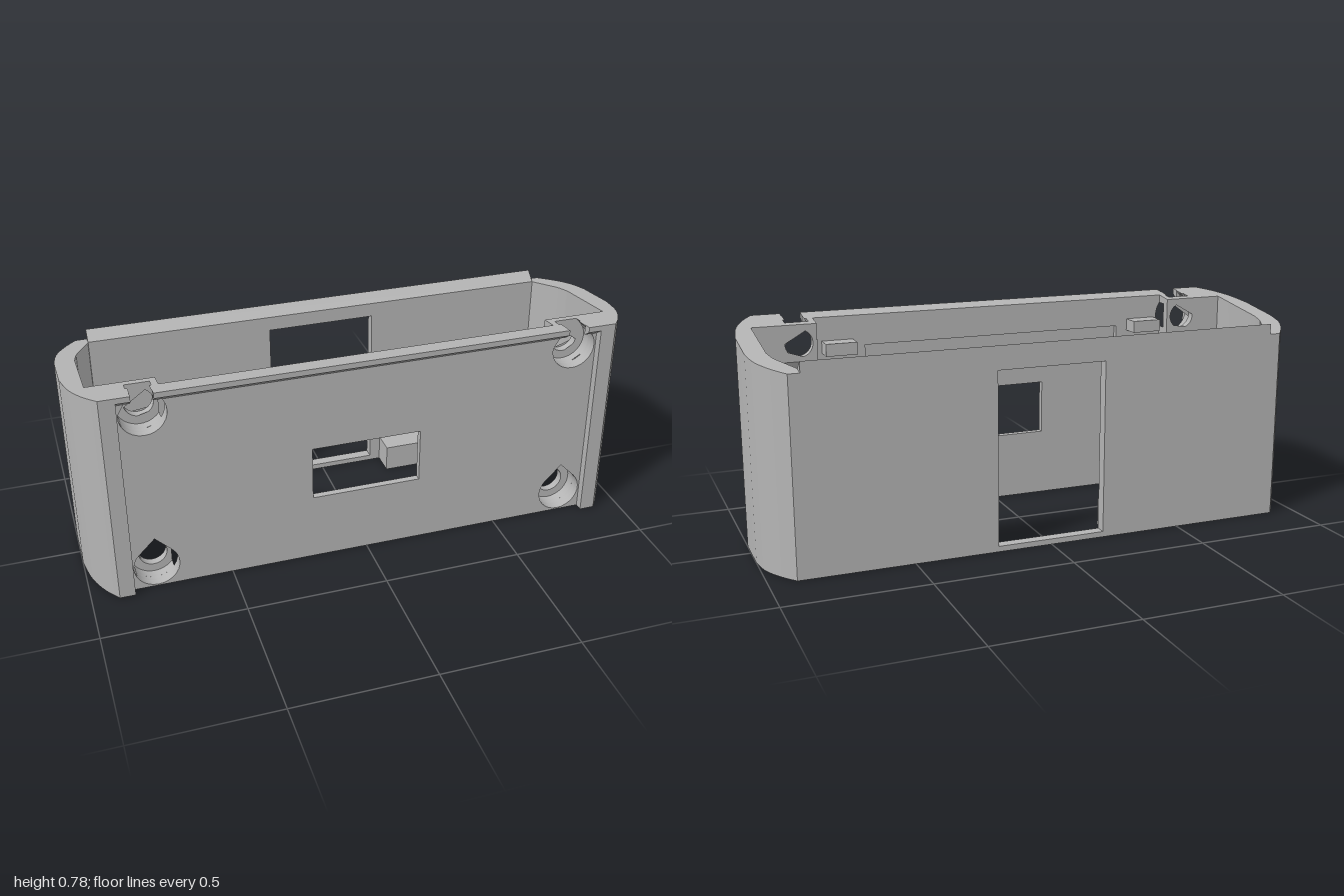
import * as THREE from 'three';
import { toCreasedNormals } from 'three/addons/utils/BufferGeometryUtils.js';

const TOP = 1; // marker height, moved onto the sloping rim afterwards
const rimY = (z) => 0.7345 + 0.137 * z;

export function createModel() {
  const model = new THREE.Group();
  model.name = 'enclosure';
  const grey = new THREE.MeshStandardMaterial({ color: 0xb4b4b4 });
  grey.name = 'greyPlastic';

  const add = (name, geo) => {
    const mesh = new THREE.Mesh(toCreasedNormals(geo, 0.5), grey);
    mesh.name = name;
    model.add(mesh);
  };
  const shapeOf = (pts, s = 1) => new THREE.Shape(pts.map(([x, y]) => new THREE.Vector2(x * s, y)));
  const rect = (x0, y0, x1, y1) => [[x0, y0], [x1, y0], [x1, y1], [x0, y1]];

  // move marked vertices by a rule y = f(y, z)
  const reshape = (geo, rule) => {
    const p = geo.attributes.position;
    for (let i = 0; i < p.count; i++) p.setY(i, rule(p.getY(i), p.getZ(i)));
    geo.computeVertexNormals();
    return geo;
  };
  const toRim = (y, z) => (y > 0.9 ? rimY(z) : y);

  // upright plate between two depths, drawn in x and y
  const plate = (name, shape, z0, z1, rule = toRim) => {
    const g = new THREE.ExtrudeGeometry(shape, { depth: z1 - z0, bevelEnabled: false });
    add(name, reshape(g.translate(0, 0, z0), rule));
  };
  // vertical prism drawn in x and -z
  const prism = (name, shape, y0, y1, rule = toRim) => {
    const g = new THREE.ExtrudeGeometry(shape, { depth: y1 - y0, bevelEnabled: false, curveSegments: 5 });
    add(name, reshape(g.rotateX(-Math.PI / 2).translate(0, y0, 0), rule));
  };
  // bar along x with a profile drawn in z and y
  const bar = (name, zy, x0, x1) => {
    const g = new THREE.ExtrudeGeometry(shapeOf(zy.map(([z, y]) => [-z, y])), { depth: x1 - x0, bevelEnabled: false });
    add(name, g.rotateY(Math.PI / 2).translate(x0, 0, 0));
  };

  // points on a circle, angles in degrees
  const arc = (cx, cy, r, a0, a1, n = 20) => Array.from({ length: n + 1 }, (_, i) => {
    const a = THREE.MathUtils.degToRad(a0 + (a1 - a0) * i / n);
    return [cx + r * Math.cos(a), cy + r * Math.sin(a)];
  });
  // teardrop with its tip up
  const tear = (cx, cy, r, tip = 1.414) => [...arc(cx, cy, r, 45, -225), [cx, cy + r * tip]];

  const HX = 0.765, LOW = 0.085, HIGH = 0.69, R = 0.08;

  // curved sides with front pillars
  for (const s of [-1, 1]) {
    const v = (x, z) => new THREE.Vector2(s * x, -z);
    const side = new THREE.Shape();
    const line = (x, z) => side.lineTo(s * x, -z);
    side.moveTo(s * 0.85, -0.31);
    line(0.905, 0.31);
    side.splineThru([v(0.948, 0.25), v(0.982, 0.17), v(1, 0.07)]);
    line(1, -0.1);
    side.splineThru([v(0.985, -0.18), v(0.95, -0.25), v(0.905, -0.31)]);
    line(0.865, -0.31);
    line(0.865, -0.265);
    side.splineThru([v(0.892, -0.21), v(0.918, -0.155), v(0.93, -0.1)]);
    line(0.93, 0.235);
    line(0.85, 0.235);
    prism(s > 0 ? 'leftSide' : 'rightSide', side, 0, TOP);
  }

  // back wall with a tall window and a wedge-shaped lip
  const back = shapeOf(rect(-0.865, 0, 0.865, TOP));
  back.holes.push(shapeOf(rect(-0.2, 0.02, 0.2, 0.645)));
  plate('backWall', back, -0.31, -0.27, (y, z) => (y > 0.9 ? (z < -0.29 ? 0.73 : 0.6975) : y));

  // front panel, notched at the top by the upper screw recesses
  const frontShape = (recessed) => {
    const notch = (cx) => [
      [cx - 0.035, TOP], ...arc(cx, HIGH, R, -225, 45), [cx + 0.035, TOP],
    ];
    const bottom = recessed
      ? [[-0.85, 0], [-0.51, 0], [-0.51, 0.655], [0.51, 0.655], [0.51, 0], [0.85, 0]]
      : [[-0.85, 0], [0.85, 0]];
    const shape = shapeOf([
      ...bottom, [0.85, TOP], ...notch(HX).reverse(), ...notch(-HX).reverse(), [-0.85, TOP],
    ]);
    for (const s of [-1, 1]) shape.holes.push(shapeOf(tear(HX, LOW, R), s));
    if (!recessed) shape.holes.push(shapeOf(rect(-0.2, 0.25, 0.195, 0.45)));
    return shape;
  };
  plate('frontPanel', frontShape(false), 0.255, 0.28);
  plate('frontPanelInnerFrame', frontShape(true), 0.235, 0.255);

  // overhanging lip along the top of the front panel
  const lip = [[0.28, 0.735], [0.31, 0.757], [0.31, rimY(0.31)], [0.28, rimY(0.28)]];
  for (const [x0, x1] of [[-0.85, -0.802], [-0.728, 0.728], [0.802, 0.85]]) bar('frontLip', lip, x0, x1);

  // screw bosses: wide recess, then a web with a smaller hole
  const bossRule = (y, z) => {
    if (y > 0.9) return rimY(z);
    if (y === 0.5) return 0.56 + (0.235 - z);
    if (y === 0.25) return 0.2 + (z - 0.17) * 0.6;
    return y;
  };
  for (const s of [-1, 1]) {
    const cut = 144.3, dy = 0.0467;
    plate('lowerBoss', shapeOf([
      [0.7, 0], [0.86, 0], [0.86, 0.25], [0.7, 0.25], [0.7, LOW + dy],
      ...arc(HX, LOW, R, cut, 135, 2), [HX, LOW + R * 1.414], ...arc(HX, LOW, R, 45, -cut),
    ], s), 0.2, 0.235, bossRule);
    plate('upperBoss', shapeOf([
      [HX + 0.042, TOP], [0.93, TOP], [0.93, 0.5], [0.7, 0.5], ...arc(HX, HIGH, R, -cut, 45),
    ], s), 0.2, 0.235, bossRule);
    plate('upperBossTab', shapeOf([
      [0.7, TOP], [HX - 0.042, TOP], ...arc(HX, HIGH, R, 135, cut, 2),
    ], s), 0.2, 0.235, bossRule);

    const lowWeb = shapeOf(rect(0.7, 0, 0.86, 0.25), s);
    lowWeb.holes.push(shapeOf(tear(HX, LOW, 0.05), s));
    plate('lowerBossWeb', lowWeb, 0.17, 0.2, bossRule);
    const highWeb = shapeOf(rect(0.7, 0.5, 0.93, TOP), s);
    highWeb.holes.push(shapeOf(tear(HX, HIGH, 0.05, 1.25), s));
    plate('upperBossWeb', highWeb, 0.17, 0.2, bossRule);

    // pair of small clips inside the front wall
    const [c0, c1] = s > 0 ? [0.555, 0.67] : [-0.67, -0.555];
    bar('upperClip', [[0.17, 0.635], [0.24, 0.635], [0.24, 0.68], [0.17, 0.68]], c0, c1);
    bar('lowerClip', [[0.17, 0.53], [0.24, 0.48], [0.24, 0.57], [0.17, 0.57]], c0, c1);

    // slotted pocket at the foot of the back wall, open below
    const pocket = shapeOf(rect(0.24, 0.18, 0.78, 0.27), s);
    pocket.holes.push(shapeOf(rect(0.275, 0.2, 0.745, 0.252), s));
    prism('pocketRing', pocket, 0, 0.08);
    prism('pocketCap', shapeOf(rect(0.24, 0.18, 0.78, 0.27), s), 0.08, 0.1);
  }
  return model;
}
